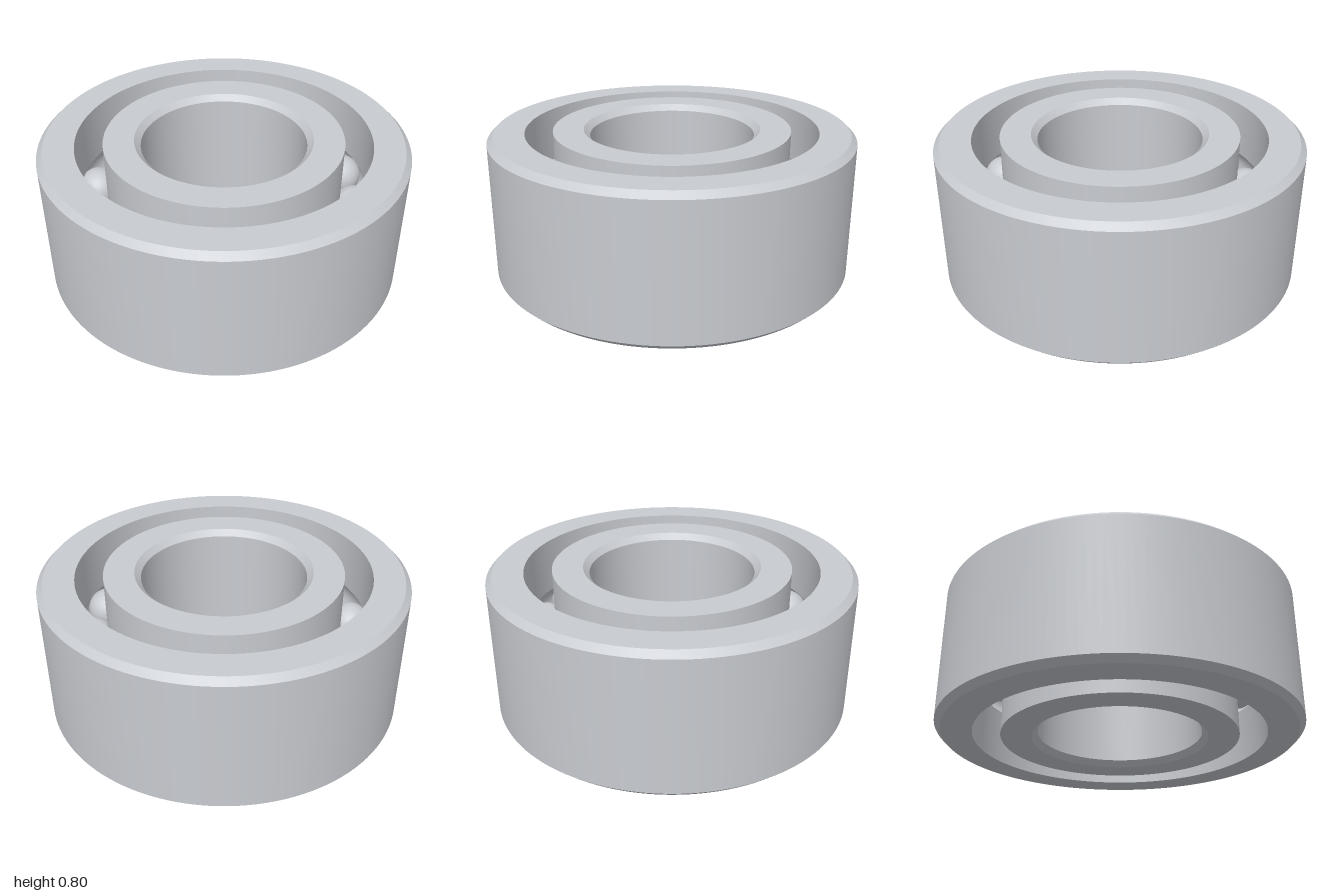
import * as THREE from 'three';
import { toCreasedNormals } from 'three/addons/utils/BufferGeometryUtils.js';

const HEIGHT = 0.8, MID = HEIGHT / 2;
const PITCH = 0.725;              // radius of the circle of ball centres
const BALL = 0.118, GROOVE = 0.12;
const BEVEL = 0.033;
const INNER_LAND = 0.65, OUTER_LAND = 0.8;

// Points of the ball groove; side +1 cuts the outer ring, -1 the inner ring
function groove(side) {
  const half = Math.acos((OUTER_LAND - PITCH) / GROOVE);
  const points = [];
  for (let i = 0; i <= 14; i++) {
    const a = -half + (2 * half * i) / 14;
    points.push([PITCH + side * GROOVE * Math.cos(a), MID + GROOVE * Math.sin(a)]);
  }
  return points;
}

// Revolves a closed, counterclockwise [radius, y] section with crisp edges
function ring(name, section, material) {
  const points = [...section, section[0]].map(([r, y]) => new THREE.Vector2(r, y));
  const geometry = toCreasedNormals(new THREE.LatheGeometry(points, 128), 0.5);
  const mesh = new THREE.Mesh(geometry, material);
  mesh.name = name;
  return mesh;
}

export function createModel() {
  const model = new THREE.Group();
  model.name = 'ballBearing';
  const steel = new THREE.MeshStandardMaterial({ color: 0xc8cbd0 });
  steel.name = 'steel';

  // Outer ring, bevelled on the outside and grooved on the inside
  model.add(ring('outerRing', [
    [OUTER_LAND, 0], [1 - BEVEL, 0], [1, BEVEL],
    [1, HEIGHT - BEVEL], [1 - BEVEL, HEIGHT], [OUTER_LAND, HEIGHT],
    ...groove(1).reverse(),
  ], steel));

  // Inner ring, grooved on the outside and bevelled at the bore
  const bore = 0.45;
  model.add(ring('innerRing', [
    [bore + BEVEL, 0], [INNER_LAND, 0],
    ...groove(-1),
    [INNER_LAND, HEIGHT], [bore + BEVEL, HEIGHT],
    [bore, HEIGHT - BEVEL], [bore, BEVEL],
  ], steel));

  // Balls spaced evenly between the rings
  const balls = new THREE.Group();
  balls.name = 'balls';
  const ballGeometry = new THREE.SphereGeometry(BALL, 32, 20);
  const count = 14;
  for (let i = 0; i < count; i++) {
    const a = (i / count) * Math.PI * 2;
    const ball = new THREE.Mesh(ballGeometry, steel);
    ball.name = 'ball';
    ball.position.set(PITCH * Math.cos(a), MID, PITCH * Math.sin(a));
    balls.add(ball);
  }
  model.add(balls);
  return model;
}
